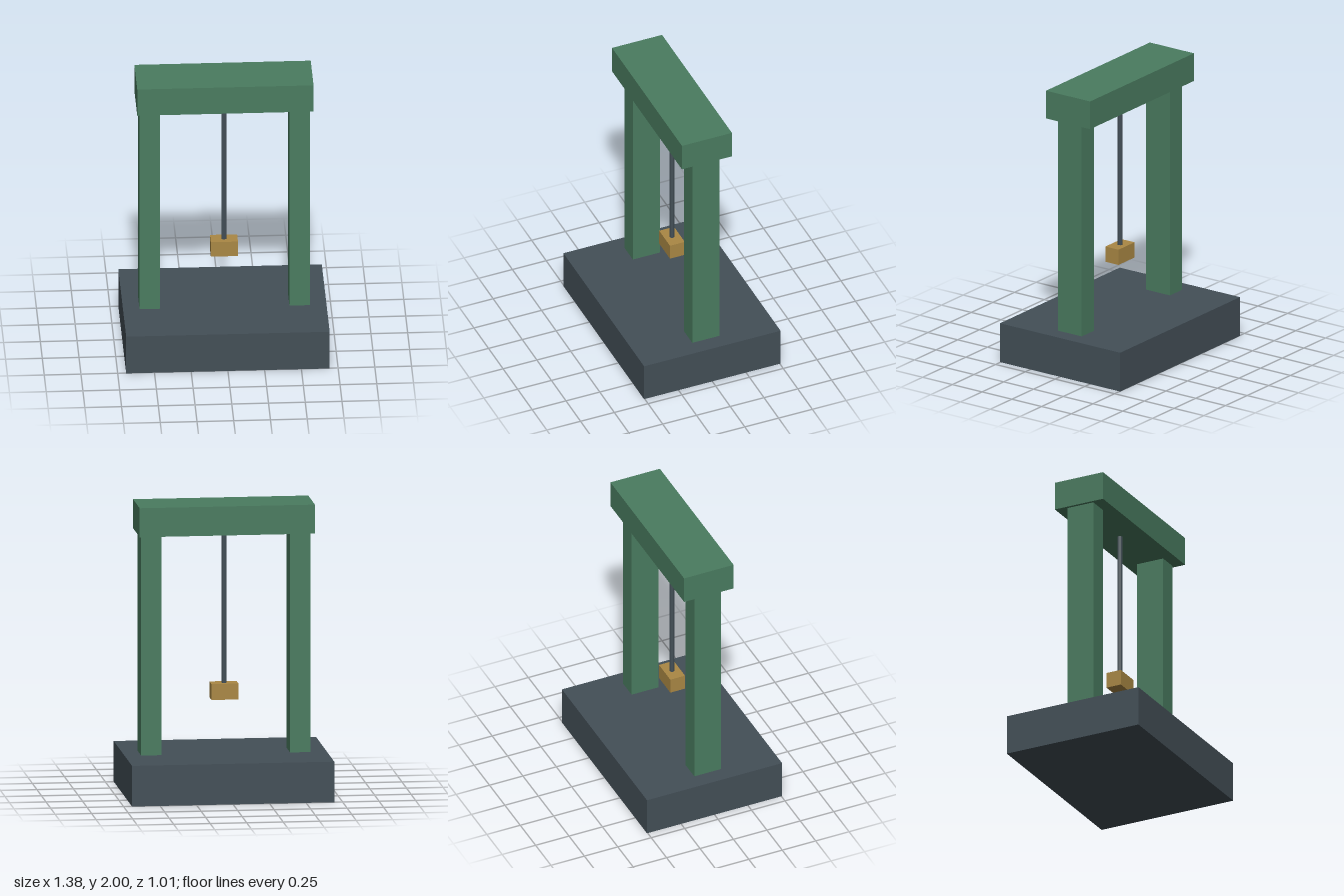
import * as THREE from 'three';

const material = (color) => new THREE.MeshStandardMaterial({ color, flatShading: true });

export function createModel() {
  const model = new THREE.Group();
  model.name = 'pendulumFrame';
  const green = material(0x4a7c60);
  const slate = material(0x434f57);
  const brass = material(0xaa8844);

  const add = (name, geometry, mat, x, y) => {
    const mesh = new THREE.Mesh(geometry, mat);
    mesh.name = name;
    mesh.position.set(x, y, 0);
    model.add(mesh);
  };
  // Box given by its bottom and top heights
  const addBox = (name, width, bottom, top, depth, mat, x = 0) =>
    add(name, new THREE.BoxGeometry(width, top - bottom, depth), mat, x, (bottom + top) / 2);

  // Plinth, two posts and the crossbeam
  addBox('base', 1.385, 0, 0.28, 1.01, slate);
  for (const [name, side] of [['leftPost', 1], ['rightPost', -1]]) {
    addBox(name, 0.14, 0.28, 1.8, 0.2, green, side * 0.51);
  }
  addBox('crossbeam', 1.2, 1.8, 2, 0.37, green);

  // Hanging rod and its weight
  const rodTop = 1.8, rodBottom = 0.755;
  add('rod', new THREE.CylinderGeometry(0.0185, 0.0185, rodTop - rodBottom, 8), slate, 0, (rodTop + rodBottom) / 2);
  addBox('weight', 0.185, 0.645, 0.755, 0.11, brass);

  return model;
}
